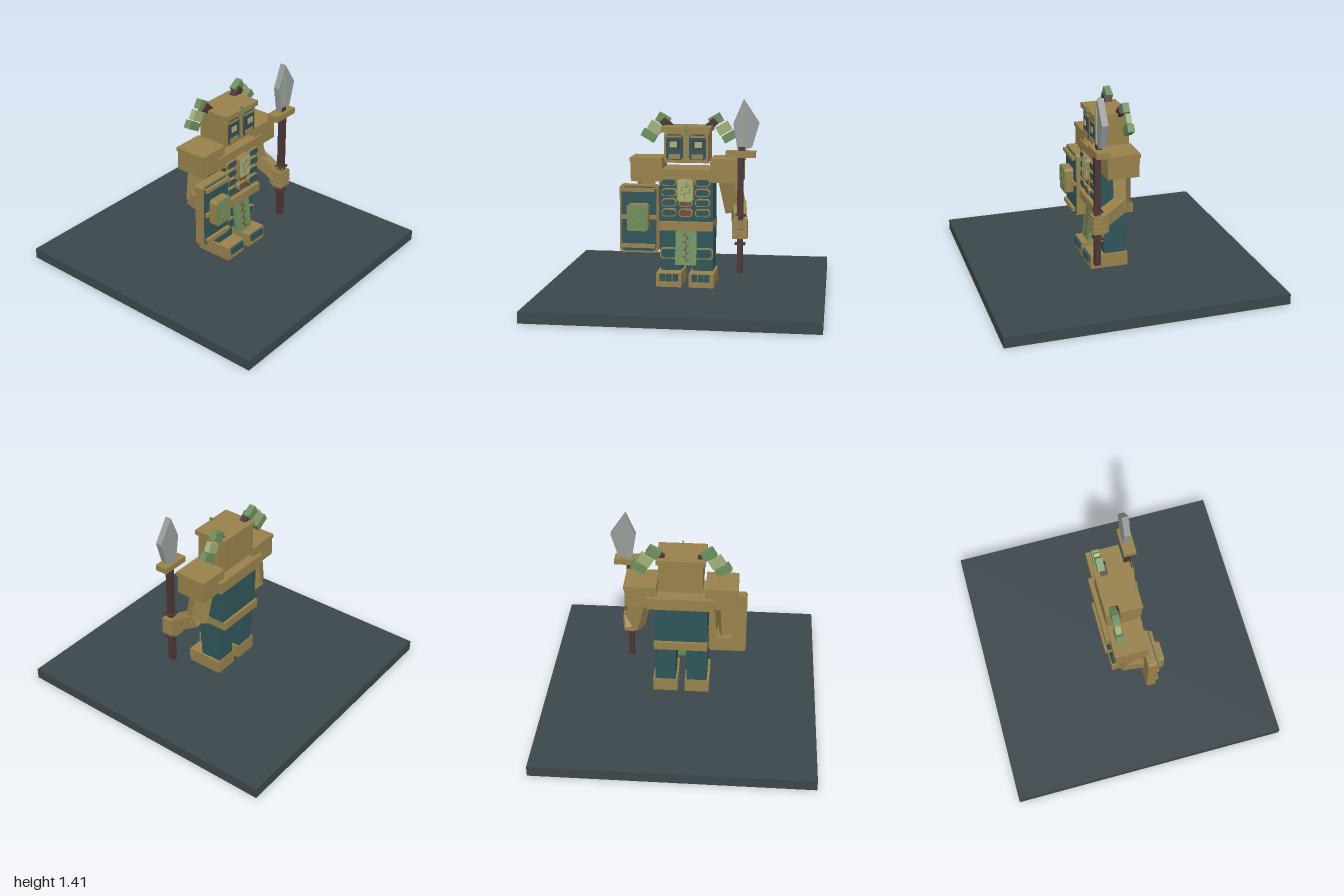
import * as THREE from 'three';

const material = (name, color) => {
  const m = new THREE.MeshStandardMaterial({ color });
  m.name = name;
  return m;
};
const tan = material('bronze', 0x98814c);
const teal = material('teal', 0x2f5559);
const slate = material('slate', 0x3c474c);
const green = material('green', 0x6d905e);
const pale = material('pale green', 0xa3b07b);
const brown = material('dark wood', 0x4b3634);
const rust = material('rust', 0x774c3a);
const steel = material('steel', 0x989d9a);

export function createModel() {
  const model = new THREE.Group();
  model.name = 'guardian';

  const add = (name, geometry, mat, parent = model) => {
    const mesh = new THREE.Mesh(geometry, mat);
    mesh.name = name;
    parent.add(mesh);
    return mesh;
  };
  // Box given by its extents on each axis
  const box = (name, mat, x0, x1, y0, y1, z0, z1, parent = model) => {
    const mesh = add(name, new THREE.BoxGeometry(x1 - x0, y1 - y0, z1 - z0), mat, parent);
    mesh.position.set((x0 + x1) / 2, (y0 + y1) / 2, (z0 + z1) / 2);
    return mesh;
  };
  // Plate with cut corners, facing +z
  const plate = (name, mat, x0, x1, y0, y1, z0, z1, c = 0.01, parent = model) => {
    const s = new THREE.Shape([
      [x0 + c, y0], [x1 - c, y0], [x1, y0 + c], [x1, y1 - c],
      [x1 - c, y1], [x0 + c, y1], [x0, y1 - c], [x0, y0 + c],
    ].map(p => new THREE.Vector2(...p)));
    const mesh = add(name, new THREE.ExtrudeGeometry(s, { depth: z1 - z0, bevelEnabled: false }), mat, parent);
    mesh.position.z = z0;
    return mesh;
  };
  // Plate with a coloured face inside a border
  const framed = (name, frameMat, faceMat, x0, x1, y0, y1, z0, z1, border = 0.007, c = 0.012, parent = model) => {
    plate(name + 'Frame', frameMat, x0, x1, y0, y1, z0, z1, c, parent);
    plate(name + 'Face', faceMat, x0 + border, x1 - border, y0 + border, y1 - border, z1 - 0.003, z1 + 0.004, c * 0.8, parent);
  };
  // Box limb running between two points
  const limb = (name, mat, a, b, w, d) => {
    const from = new THREE.Vector3(...a), to = new THREE.Vector3(...b);
    const mesh = add(name, new THREE.BoxGeometry(w, from.distanceTo(to), d), mat);
    mesh.position.copy(from).add(to).multiplyScalar(0.5);
    mesh.quaternion.setFromUnitVectors(new THREE.Vector3(0, 1, 0), to.sub(from).normalize());
    return mesh;
  };
  // Thin strips following a path in the xy plane
  const carve = (name, mat, points, z, w = 0.006) => {
    for (let i = 1; i < points.length; i++) {
      const [x0, y0] = points[i - 1], [x1, y1] = points[i];
      const len = Math.hypot(x1 - x0, y1 - y0);
      const strip = add(name, new THREE.BoxGeometry(len + w, w, 0.006), mat);
      strip.position.set((x0 + x1) / 2, (y0 + y1) / 2, z);
      strip.rotation.z = Math.atan2(y1 - y0, x1 - x0);
    }
  };
  // Branching carved glyph
  const glyph = (x, y, s, z) => {
    const at = list => list.map(([u, v]) => [x + u * s, y + v * s]);
    carve('glyph', tan, at([[0.1, 1], [0.1, 0.35], [-0.45, 0.35], [-0.45, -0.1]]), z);
    carve('glyph', tan, at([[-0.05, -1], [-0.05, -0.3], [0.55, -0.3], [0.55, 0.15]]), z);
    carve('glyph', tan, at([[-0.6, -0.55], [-0.05, -0.55]]), z);
    carve('glyph', tan, at([[0.1, 0.6], [0.6, 0.6]]), z);
  };

  // Ground slab
  box('base', slate, -0.985, 0.985, 0, 0.077, -1, 1);

  // Feet, legs, knees, shoulders, eyes and horns on both sides
  for (const s of [-1, 1]) {
    const span = (a, b) => (s > 0 ? [a, b] : [-b, -a]);
    box('foot', tan, ...span(0.027, 0.205), 0.077, 0.178, -0.085, 0.187);
    for (let i = 0; i < 3; i++) {
      const x = 0.05 + i * 0.045;
      box('toe', teal, ...span(x, x + 0.037), 0.122, 0.172, 0.18, 0.204);
    }
    box('shin', teal, ...span(0.04, 0.188), 0.175, 0.28, -0.078, 0.085);
    box('thigh', teal, ...span(0.035, 0.192), 0.28, 0.5, -0.085, 0.09);
    framed('knee', tan, teal, ...span(0.036, 0.19), 0.265, 0.345, 0.07, 0.108, 0.01, 0.015);

    box('shoulder', tan, ...span(0.17, 0.395), 0.82, 0.965, -0.105, 0.122);
    box('shoulderCap', tan, ...span(0.172, 0.402), 0.96, 0.988, -0.112, 0.13);

    framed('eyePanel', tan, teal, ...span(0.008, 0.155), 0.965, 1.172, 0.1, 0.13, 0.014, 0.018);
    box('eyeSocket', brown, ...span(0.045, 0.122), 1.055, 1.118, 0.128, 0.14);
    box('eye', pale, ...span(0.062, 0.115), 1.066, 1.108, 0.134, 0.145);
    box('cheek', tan, ...span(0.04, 0.122), 0.985, 1.02, 0.128, 0.143);
    box('brow', tan, ...span(0.03, 0.14), 1.135, 1.15, 0.128, 0.138);

    // Curled horn in stacked blocks
    const root = add('hornRoot', new THREE.BoxGeometry(0.085, 0.055, 0.05), brown);
    root.position.set(s * 0.162, 1.215, -0.045);
    root.rotation.z = s * 0.75;
    [[0.19, 1.247, green, 0.092, 0.068, 0.048], [0.247, 1.186, pale, 0.098, 0.07, 0.038], [0.292, 1.13, green, 0.108, 0.056, 0.05]]
      .forEach(([x, y, mat, w, h, d]) => {
        const block = add('hornBlock', new THREE.BoxGeometry(w, h, d), mat);
        block.position.set(s * x, y, -0.06);
        block.rotation.z = s * 0.53;
      });

    // Side rows of belly plates
    for (let r = 0; r < 4; r++) {
      const y = 0.578 + r * 0.072;
      framed('bellyPlate', tan, teal, ...span(0.066, 0.172), y, y + 0.055, 0.11, 0.15, 0.007, 0.015);
    }
  }

  // Torso, belt and collar
  box('torso', teal, -0.19, 0.19, 0.53, 0.83, -0.11, 0.122);
  box('belt', tan, -0.192, 0.192, 0.478, 0.54, -0.13, 0.155);
  box('collar', tan, -0.24, 0.24, 0.822, 0.91, -0.135, 0.135);
  for (let r = 0; r < 2; r++) {
    const y = 0.578 + r * 0.072;
    framed('middlePlate', tan, rust, -0.05, 0.05, y, y + 0.055, 0.11, 0.155, 0.007, 0.015);
  }
  framed('chestTablet', tan, pale, -0.062, 0.06, 0.685, 0.855, 0.11, 0.17, 0.007, 0.018);
  glyph(0, 0.77, 0.055, 0.176);

  // Hanging cloth with a torn seam
  const cloth = new THREE.Group();
  cloth.name = 'loincloth';
  cloth.position.set(0.003, 0.49, 0.115);
  cloth.rotation.x = -0.13;
  model.add(cloth);
  box('clothPanel', green, -0.075, 0.075, -0.26, 0.005, -0.005, 0.025, cloth);
  for (let i = 0; i < 8; i++) {
    const y = -0.03 - i * 0.026, shift = i % 2 ? 0.005 : -0.004;
    box('seam', rust, shift - 0.004, shift + 0.004, y - 0.026, y, 0.022, 0.029, cloth);
    const side = i % 2 ? 1 : -1;
    const reach = side * 0.026;
    box('stitch', rust, Math.min(0, reach), Math.max(0, reach), y - 0.02, y - 0.014, 0.022, 0.029, cloth);
  }

  // Head
  box('head', tan, -0.155, 0.155, 0.955, 1.175, -0.108, 0.11);
  box('headCap', tan, -0.172, 0.172, 1.172, 1.208, -0.112, 0.145);
  box('crest', green, -0.005, 0.005, 1.15, 1.225, 0.125, 0.15);
  carve('crestCrack', green, [[-0.03, 1.2], [-0.005, 1.185], [0.015, 1.195]], 0.148);

  // Shield
  plate('shieldBody', tan, -0.465, -0.19, 0.32, 0.803, 0.11, 0.175, 0.015);
  plate('shieldFace', teal, -0.452, -0.203, 0.333, 0.79, 0.17, 0.182, 0.02);
  for (const y of [0.357, 0.757]) box('shieldBar', tan, -0.445, -0.21, y, y + 0.027, 0.17, 0.205);
  for (const x of [-0.45, -0.25]) box('shieldTab', tan, x, x + 0.05, 0.562, 0.59, 0.17, 0.2);
  framed('shieldBoss', tan, green, -0.402, -0.252, 0.485, 0.675, 0.17, 0.245, 0.008, 0.014);
  glyph(-0.327, 0.58, 0.065, 0.251);

  // Arms
  limb('rightUpperArm', tan, [-0.3, 0.84, 0], [-0.315, 0.585, -0.01], 0.12, 0.1);
  limb('rightForearm', tan, [-0.315, 0.6, -0.04], [-0.32, 0.56, 0.12], 0.11, 0.11);
  limb('leftUpperArm', tan, [0.29, 0.84, -0.01], [0.345, 0.6, 0.005], 0.13, 0.09);
  limb('leftForearm', tan, [0.36, 0.645, -0.02], [0.385, 0.53, 0.17], 0.095, 0.09);

  // Left hand with wrapped fingers
  box('palm', tan, 0.35, 0.43, 0.45, 0.578, 0.125, 0.2);
  for (let i = 0; i < 4; i++) {
    const y = 0.447 + i * 0.033;
    box('finger', tan, 0.337, 0.442, y, y + 0.027, 0.155, 0.238);
  }
  box('thumb', tan, 0.355, 0.378, 0.555, 0.61, 0.17, 0.23);

  // Spear
  box('spearShaft', brown, 0.37, 0.41, 0.2, 1.02, 0.175, 0.218);
  for (const y of [0.4, 0.6]) box('spearRing', brown, 0.355, 0.427, y, y + 0.012, 0.165, 0.228);
  box('spearGuard', tan, 0.287, 0.493, 1.012, 1.055, 0.14, 0.23);
  box('spearSocket', brown, 0.375, 0.42, 1.05, 1.085, 0.172, 0.205);
  const blade = new THREE.Shape([[0.37, 1.05], [0.465, 1.08], [0.515, 1.25], [0.408, 1.41], [0.338, 1.245]]
    .map(p => new THREE.Vector2(...p)));
  add('spearBlade', new THREE.ExtrudeGeometry(blade, { depth: 0.045, bevelEnabled: false }), steel).position.z = 0.155;
  box('bladeGroove', pale, 0.394, 0.402, 1.09, 1.34, 0.197, 0.206);

  return model;
}
